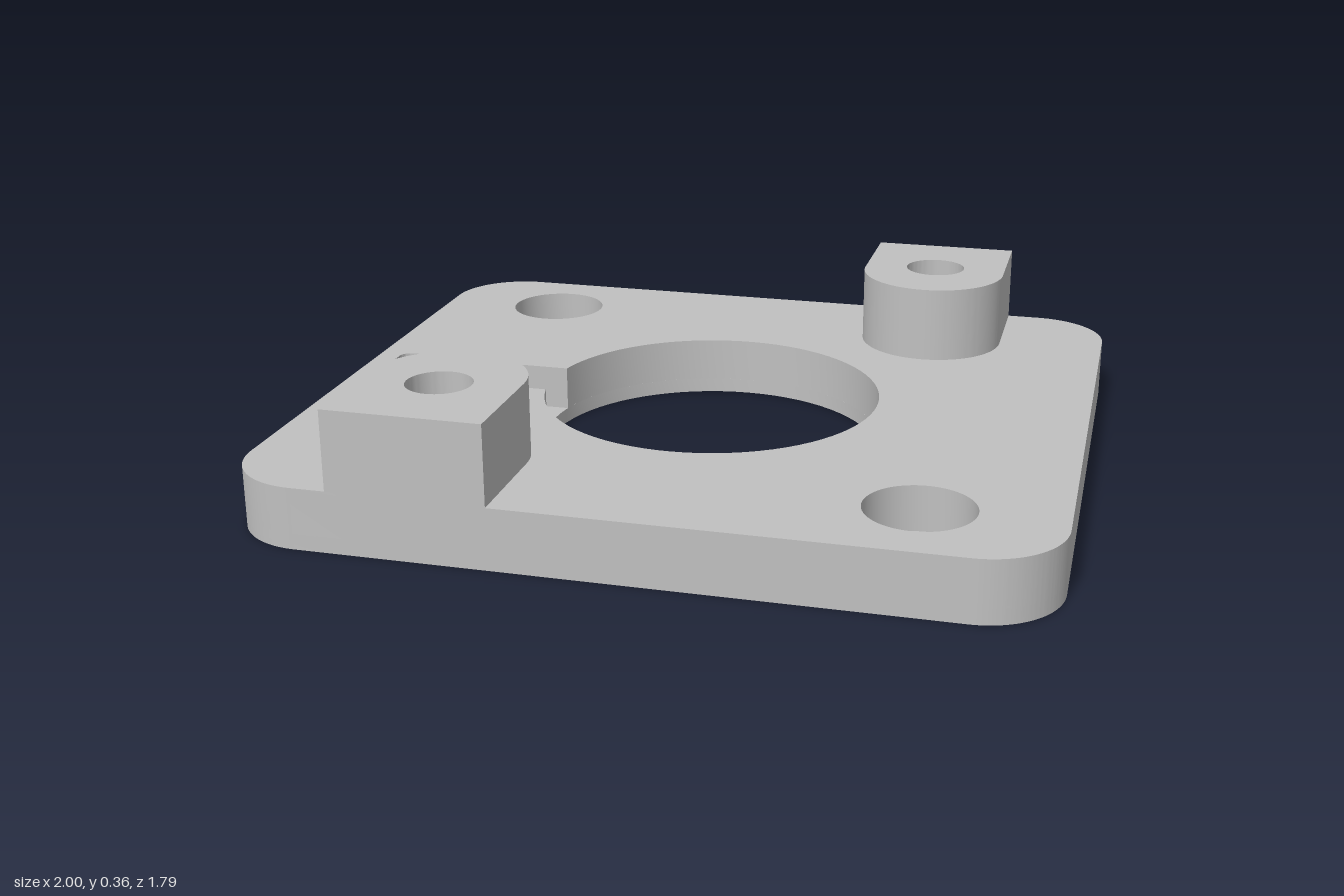
import * as THREE from 'three';
import { toCreasedNormals } from 'three/addons/utils/BufferGeometryUtils.js';

const W = 1, D = 0.895;            // half width and half depth of the plate
const FLOOR = 0.04, TOP = 0.158, BOSS_TOP = 0.363;
const SCREWS = [[-0.655, 0.655], [0.655, -0.65]]; // plan positions (x, -z)

// Rounded rectangle, counter-clockwise, as a Shape or Path
function roundedRect(path, x0, y0, x1, y1, r) {
  path.moveTo(x0 + r, y0);
  path.absarc(x1 - r, y0 + r, r, -Math.PI / 2, 0, false);
  path.absarc(x1 - r, y1 - r, r, 0, Math.PI / 2, false);
  path.absarc(x0 + r, y1 - r, r, Math.PI / 2, Math.PI, false);
  path.absarc(x0 + r, y0 + r, r, Math.PI, Math.PI * 1.5, false);
  path.closePath();
  return path;
}

function circle(x, y, r) {
  return new THREE.Path().absarc(x, y, r, 0, Math.PI * 2, false);
}

// Extrude a plan outline upward between two heights
function slab(name, shape, y0, y1, material) {
  let geo = new THREE.ExtrudeGeometry(shape, { depth: y1 - y0, bevelEnabled: false, curveSegments: 36 });
  geo.rotateX(-Math.PI / 2);
  geo.translate(0, y0, 0);
  geo = toCreasedNormals(geo, 0.5);
  const mesh = new THREE.Mesh(geo, material);
  mesh.name = name;
  return mesh;
}

// Central bore joined to the stepped cable channel and its slot
function boreWithChannel() {
  const a = Math.PI - Math.asin(0.09 / 0.45), r = 0.03;
  const p = new THREE.Path();
  p.absarc(0, 0, 0.45, -a, a, false);
  p.lineTo(-0.575, 0.09);
  p.lineTo(-0.575, 0.07);
  p.lineTo(-0.8, 0.07);
  p.absarc(-0.8 - r, 0.11 - r, r, 0, Math.PI / 2, false);
  p.absarc(-0.94 + r, 0.11 - r, r, Math.PI / 2, Math.PI, false);
  p.absarc(-0.94 + r, -0.11 + r, r, Math.PI, Math.PI * 1.5, false);
  p.absarc(-0.8 - r, -0.11 + r, r, Math.PI * 1.5, Math.PI * 2, false);
  p.lineTo(-0.8, -0.07);
  p.lineTo(-0.575, -0.07);
  p.lineTo(-0.575, -0.09);
  p.closePath();
  return p;
}

export function createModel() {
  const group = new THREE.Group();
  group.name = 'mountingPlate';
  const grey = new THREE.MeshStandardMaterial({ color: 0xc0c0c0 });
  grey.name = 'grey';

  // Lower layer: floor of the counterbores and channel
  const lower = roundedRect(new THREE.Shape(), -W, -D, W, D, 0.2);
  lower.holes.push(
    circle(0, 0, 0.45),
    roundedRect(new THREE.Path(), -0.94, -0.11, -0.8, 0.11, 0.03),
    ...SCREWS.map(([x, y]) => circle(x, y, 0.07))
  );
  group.add(slab('plateFloor', lower, 0, FLOOR, grey));

  // Upper layer: counterbores and open channel
  const upper = roundedRect(new THREE.Shape(), -W, -D, W, D, 0.2);
  upper.holes.push(boreWithChannel(), ...SCREWS.map(([x, y]) => circle(x, y, 0.135)));
  group.add(slab('plateTop', upper, FLOOR, TOP, grey));

  // Two bosses with blind holes, turned half a revolution from each other
  for (const [name, turn] of [['backBoss', 0], ['frontBoss', Math.PI]]) {
    const s = new THREE.Shape();
    s.moveTo(0.71, D);
    s.lineTo(0.31, D);
    s.lineTo(0.31, 0.613);
    s.absarc(0.51, 0.613, 0.2, Math.PI, Math.PI * 2, false);
    s.closePath();
    s.holes.push(circle(0.51, 0.653, 0.083));
    const boss = slab(name, s, TOP, BOSS_TOP, grey);
    boss.rotation.y = turn;
    group.add(boss);
  }
  return group;
}
